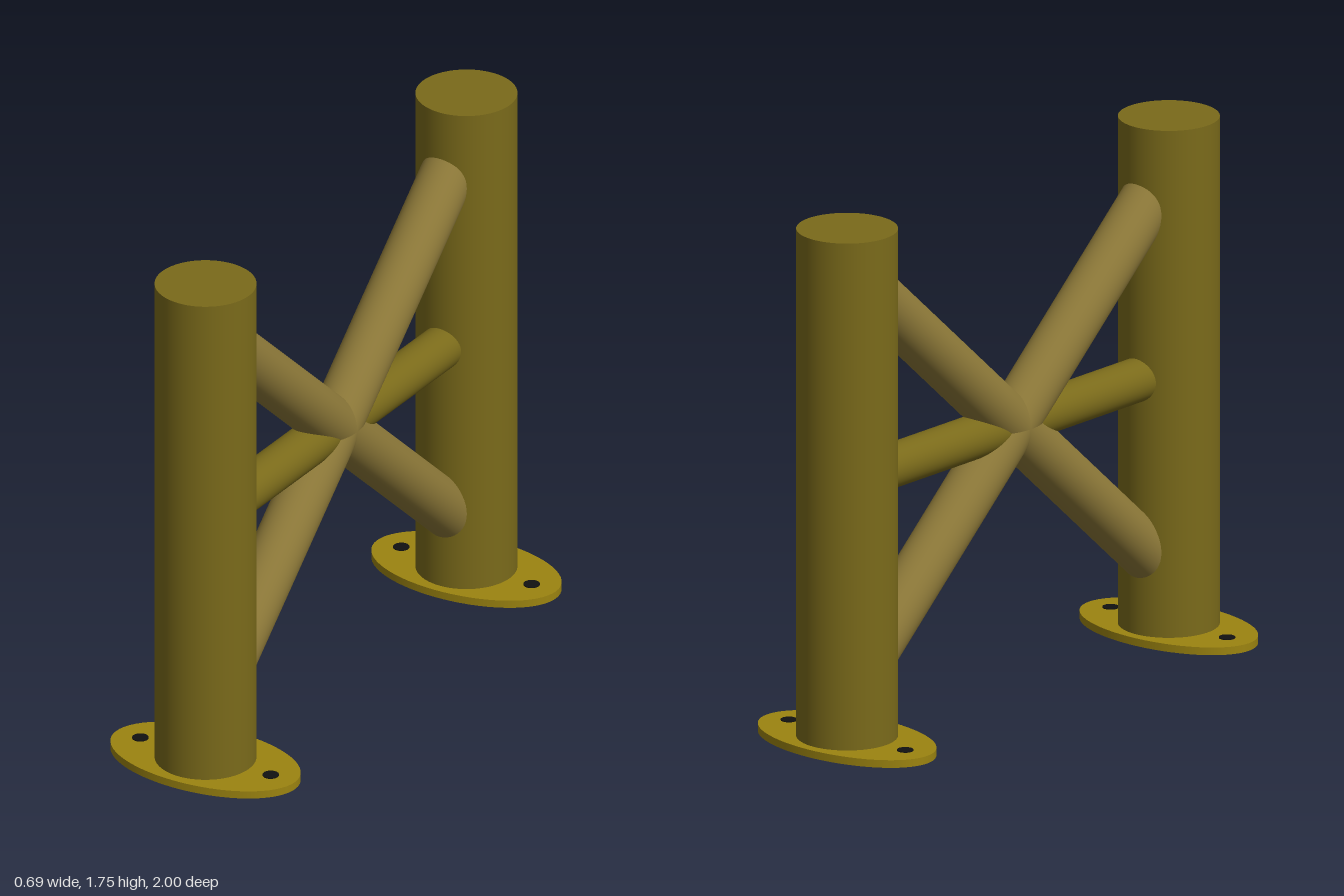
import * as THREE from 'three';

const material = (color) => new THREE.MeshStandardMaterial({ color });

export function createModel() {
  const model = new THREE.Group();
  model.name = 'crossBracedFrame';

  const postMat = material(0x7a6a1a);
  const braceMat = material(0x8c7838);
  const plateMat = material(0x9c8410);
  const holeMat = material(0x111111);

  const add = (name, geometry, mat, parent = model) => {
    const mesh = new THREE.Mesh(geometry, mat);
    mesh.name = name;
    parent.add(mesh);
    return mesh;
  };

  // Round bar between two points [y, z] in the x = 0 plane
  const bar = (name, radius, from, to, mat) => {
    const a = new THREE.Vector3(0, ...from);
    const b = new THREE.Vector3(0, ...to);
    const mesh = add(name, new THREE.CylinderGeometry(radius, radius, a.distanceTo(b), 48), mat);
    mesh.position.copy(a).add(b).multiplyScalar(0.5);
    mesh.quaternion.setFromUnitVectors(new THREE.Vector3(0, 1, 0), b.sub(a).normalize());
  };

  // Upright posts on oval foot plates with two dark bolt holes each
  for (const [side, z] of [['front', 0.8], ['back', -0.8]]) {
    const leg = new THREE.Group();
    leg.name = side + 'Leg';
    leg.position.z = z;
    model.add(leg);

    add(side + 'Post', new THREE.CylinderGeometry(0.166, 0.166, 1.73, 64), postMat, leg)
      .position.y = 0.89;

    const plate = add(side + 'FootPlate', new THREE.CylinderGeometry(1, 1, 0.026, 64), plateMat, leg);
    plate.scale.set(0.343, 1, 0.2);
    plate.position.y = 0.013;

    for (const x of [-0.25, 0.25]) {
      add(side + 'BoltHole', new THREE.CylinderGeometry(0.027, 0.027, 0.015, 24), holeMat, leg)
        .position.set(x, 0.0215, 0);
    }
  }

  // Crossed diagonal braces and the level rail through their crossing
  bar('diagonalBraceRisingBack', 0.089, [0.235, 0.75], [1.57, -0.75], braceMat);
  bar('diagonalBraceRisingFront', 0.089, [1.544, 0.75], [0.221, -0.75], braceMat);
  bar('middleRail', 0.073, [0.892, 0.75], [0.892, -0.75], postMat);

  return model;
}
